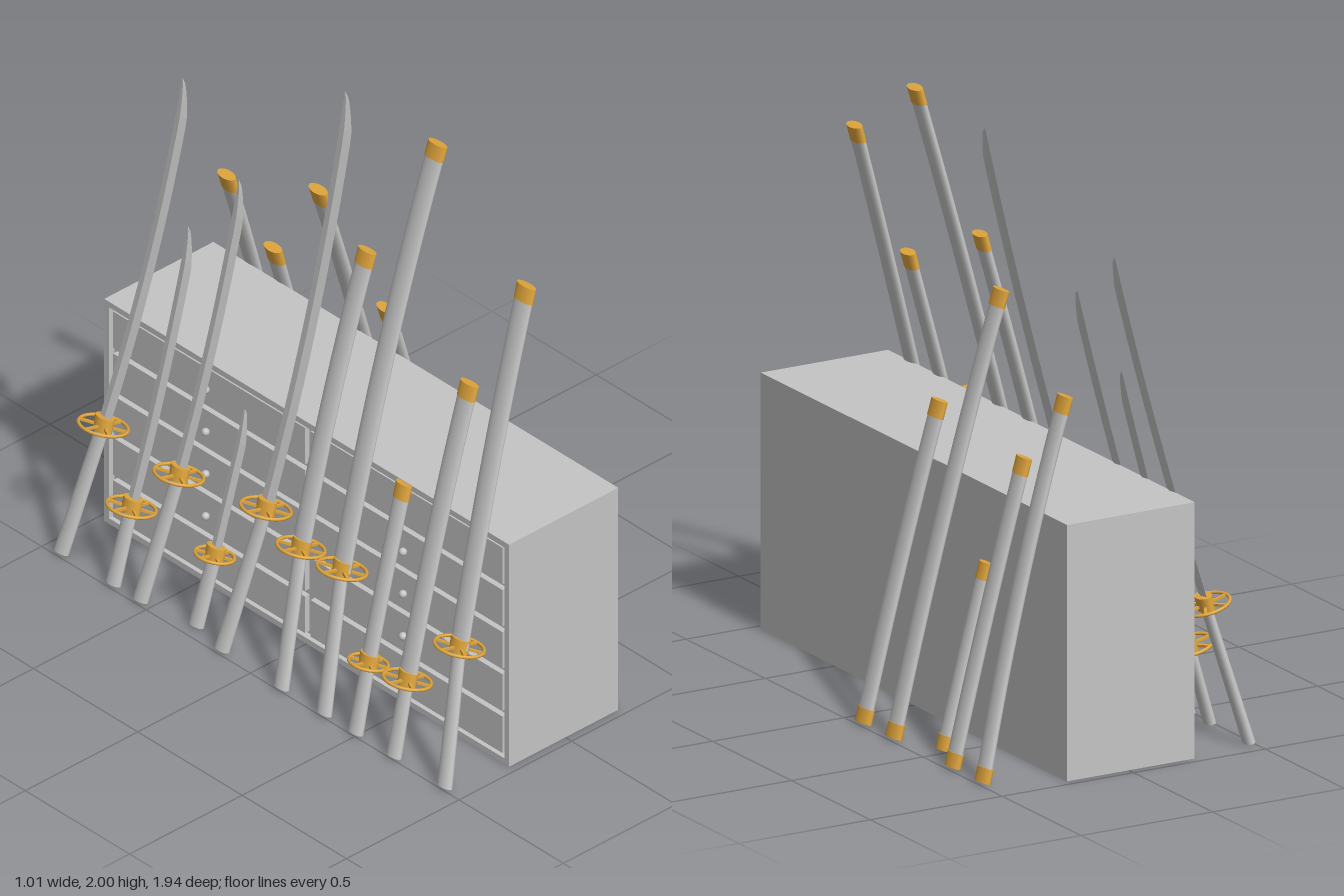
import * as THREE from 'three';

const LEAN = Math.PI / 12;
const COS = Math.cos(LEAN);
const grey = new THREE.MeshStandardMaterial({ color: 0xc4c4c4 });
grey.name = 'steelGrey';
const gold = new THREE.MeshStandardMaterial({ color: 0xe0a53c });
gold.name = 'gold';

function add(parent, name, geometry, material, x = 0, y = 0, z = 0) {
  const mesh = new THREE.Mesh(geometry, material);
  mesh.name = name;
  mesh.position.set(x, y, z);
  parent.add(mesh);
  return mesh;
}

// Parabola through three (s, z) points: the bow of a blade or sheath
function bow(s0, z0, s1, z1, s2, z2) {
  return s =>
    (z0 * (s - s1) * (s - s2)) / ((s0 - s1) * (s0 - s2)) +
    (z1 * (s - s0) * (s - s2)) / ((s1 - s0) * (s1 - s2)) +
    (z2 * (s - s0) * (s - s1)) / ((s2 - s0) * (s2 - s1));
}

// Oval bar that follows the bow between heights s0 and s1
function ovalBar(f, s0, s1, width, thick, steps = 1, flare = 1) {
  const g = new THREE.CylinderGeometry(1, 1, 1, 24, steps);
  const p = g.attributes.position;
  for (let i = 0; i < p.count; i++) {
    const u = p.getY(i) + 0.5;
    const s = s0 + (s1 - s0) * u;
    const k = flare + (1 - flare) * u;
    p.setXYZ(i, (p.getX(i) * thick * k) / 2, s, f(s) + (p.getZ(i) * width * k) / 2);
  }
  g.computeVertexNormals();
  return g;
}

// Diamond-section blade; the edge side (+z) sweeps round to the spine at the tip
function bladeGeometry(f, s0, s1, width, thick) {
  let g = new THREE.CylinderGeometry(1, 1, 1, 4, 24);
  const p = g.attributes.position;
  const tip = 0.13;
  for (let i = 0; i < p.count; i++) {
    const u = p.getY(i) + 0.5;
    const v = Math.max(0, (u - 0.6) / 0.4);
    const s = u < 0.6 ? s0 + ((s1 - tip - s0) * u) / 0.6 : s1 - tip + tip * v;
    const k = Math.max(0.02, Math.sqrt(1 - v));
    const centre = f(s) - (width * (1 - k)) / 2;
    p.setXYZ(i, (p.getX(i) * thick * k) / 2, s, centre + (p.getZ(i) * width * k) / 2);
  }
  g = g.toNonIndexed();
  g.computeVertexNormals();
  return g;
}

// Spoked wheel guard with a hub collar
function makeGuard(radius) {
  const guard = new THREE.Group();
  guard.name = 'guard';
  add(guard, 'guardRing', new THREE.TorusGeometry(radius, 0.006, 8, 36), gold).rotation.x = Math.PI / 2;
  for (let i = 0; i < 3; i++) {
    const spoke = add(guard, 'guardSpoke', new THREE.BoxGeometry(radius * 2, 0.008, 0.01), gold);
    spoke.rotation.y = (i * Math.PI) / 3;
  }
  const hub = add(guard, 'guardHub', new THREE.CylinderGeometry(1, 1, 0.05, 24), gold, 0, 0.008, 0);
  hub.scale.set(0.026, 1, 0.038);
  return guard;
}

// One leaning sword, bare or sheathed; z lists handle end, guard, middle and tip
function makeSword({ x, top, guardY, z, bare, r = 0.08, w = 0.08 }) {
  const sword = new THREE.Group();
  sword.name = bare ? 'bareSword' : 'sheathedSword';
  const g = guardY / COS;
  const end = top / COS;
  const f = bow(g, z[1], (g + end) / 2, z[2], end, z[3]);
  const h = s => z[0] + ((z[1] - z[0]) * s) / g;
  add(sword, 'handle', ovalBar(h, 0.008, g, 0.054, 0.032, 6, 1.15), grey);
  const guard = makeGuard(r);
  guard.position.set(0, g, z[1]);
  sword.add(guard);
  if (bare) {
    add(sword, 'blade', bladeGeometry(f, g, end, w, 0.014), grey);
  } else {
    add(sword, 'sheath', ovalBar(f, g, end - 0.05, w, 0.034, 24), grey);
    add(sword, 'sheathCap', ovalBar(f, end - 0.055, end, w + 0.004, 0.038), gold);
  }
  sword.position.x = x;
  sword.rotation.z = -LEAN;
  return sword;
}

// Empty sheath leaning the other way, with an open mouth at the floor
function makeSheath({ x, top, z, w }) {
  const sheath = new THREE.Group();
  sheath.name = 'emptySheath';
  const end = top / COS;
  const f = bow(0, z[0], end / 2, z[1], end, z[2]);
  add(sheath, 'sheath', ovalBar(f, 0.045, end - 0.05, w, 0.034, 24), grey);
  add(sheath, 'sheathCap', ovalBar(f, end - 0.058, end, w + 0.004, 0.038), gold);
  const ring = new THREE.Shape().absellipse(0, 0, 0.02, w / 2 + 0.002, 0, Math.PI * 2);
  ring.holes.push(new THREE.Path().absellipse(0, 0, 0.012, w / 2 - 0.01, 0, Math.PI * 2, true));
  const mouth = new THREE.ExtrudeGeometry(ring, { depth: 0.05, bevelEnabled: false, curveSegments: 24 });
  mouth.rotateX(-Math.PI / 2);
  add(sheath, 'sheathMouth', mouth, gold, 0, 0.006, f(0.03));
  sheath.position.x = x;
  sheath.rotation.z = LEAN;
  return sheath;
}

// Cabinet with two columns of five drawers on its -x side
function makeCabinet() {
  const cabinet = new THREE.Group();
  cabinet.name = 'cabinet';
  add(cabinet, 'carcass', new THREE.BoxGeometry(0.46, 0.875, 1.94), grey, 0.005, 0.4375, 0);
  for (const y of [0.011, 0.864]) add(cabinet, 'frameRail', new THREE.BoxGeometry(0.025, 0.022, 1.94), grey, -0.2375, y, 0);
  for (const z of [-0.959, 0.959]) add(cabinet, 'frameStile', new THREE.BoxGeometry(0.025, 0.831, 0.022), grey, -0.2375, 0.4375, z);
  for (let row = 0; row < 5; row++) {
    const y = 0.105 + row * 0.1663;
    for (const z of [-0.473, 0.473]) {
      add(cabinet, 'drawerFront', new THREE.BoxGeometry(0.02, 0.144, 0.92), grey, -0.235, y, z);
      add(cabinet, 'drawerKnob', new THREE.SphereGeometry(0.014, 16, 12), grey, -0.261, y, z);
    }
  }
  return cabinet;
}

export function createModel() {
  const model = new THREE.Group();
  model.name = 'swordCabinet';
  model.add(makeCabinet());

  const swords = [
    { x: -0.485, top: 1.71, guardY: 0.48, z: [-0.925, -0.86, -0.808, -0.81], bare: true, r: 0.083, w: 0.053 },
    { x: -0.485, top: 1.26, guardY: 0.28, z: [-0.675, -0.667, -0.65, -0.655], bare: true, r: 0.082, w: 0.05 },
    { x: -0.485, top: 1.5, guardY: 0.47, z: [-0.545, -0.495, -0.472, -0.48], bare: true, r: 0.083, w: 0.052 },
    { x: -0.45, top: 0.78, guardY: 0.26, z: [-0.315, -0.3, -0.292, -0.285], bare: true, r: 0.066, w: 0.046 },
    { x: -0.485, top: 1.975, guardY: 0.53, z: [-0.155, -0.095, -0.072, -0.105], bare: true, r: 0.084, w: 0.058 },
    { x: -0.492, top: 1.53, guardY: 0.48, z: [0.14, 0.095, 0.09, 0.11], w: 0.076 },
    { x: -0.492, top: 1.995, guardY: 0.49, z: [0.345, 0.288, 0.28, 0.314], r: 0.083, w: 0.08 },
    { x: -0.492, top: 0.875, guardY: 0.25, z: [0.495, 0.485, 0.478, 0.476], r: 0.066, w: 0.064 },
    { x: -0.492, top: 1.31, guardY: 0.27, z: [0.678, 0.665, 0.655, 0.664], w: 0.076 },
    { x: -0.49, top: 1.72, guardY: 0.47, z: [0.92, 0.855, 0.824, 0.816], r: 0.083, w: 0.08 },
  ];
  for (const s of swords) model.add(makeSword(s));

  const sheaths = [
    { x: 0.485, top: 1.26, z: [-0.852, -0.805, -0.813], w: 0.076 },
    { x: 0.485, top: 1.02, z: [-0.66, -0.652, -0.66], w: 0.076 },
    { x: 0.415, top: 0.62, z: [-0.482, -0.48, -0.481], w: 0.062 },
    { x: 0.485, top: 1.48, z: [-0.287, -0.278, -0.31], w: 0.08 },
    { x: 0.485, top: 1.065, z: [-0.095, -0.09, -0.105], w: 0.08 },
  ];
  for (const s of sheaths) model.add(makeSheath(s));
  return model;
}
